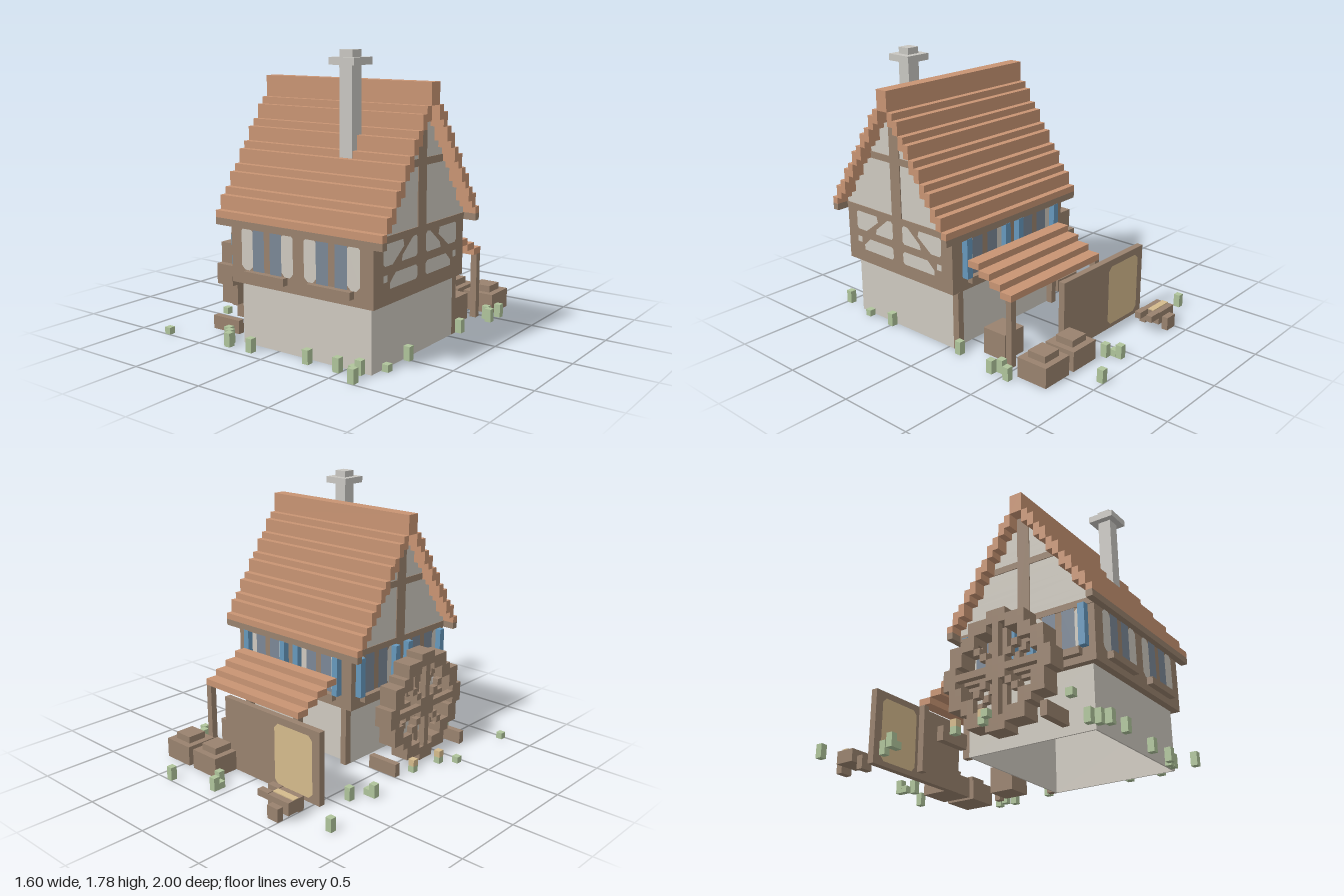
import * as THREE from 'three';
import { mergeGeometries } from 'three/addons/utils/BufferGeometryUtils.js';

const V = 2 / 46; // voxel size

export function createModel() {
  const model = new THREE.Group();
  model.name = 'timberMill';
  const mat = (name, color) => {
    const m = new THREE.MeshStandardMaterial({ color });
    m.name = name;
    return m;
  };
  const roofTile = mat('roofTile', 0xc89473), wood = mat('wood', 0x99826e);
  const plaster = mat('plaster', 0xcec9bf), chimneyStone = mat('chimneyStone', 0xc8c6c1);
  const shutterBlue = mat('shutterBlue', 0x6698bc), glass = mat('glass', 0x7b8796);
  const tan = mat('tan', 0xd4ba8c), grass = mat('grass', 0xafc49b);
  const ceilingDark = mat('ceilingDark', 0x8a8885);

  const boxGeo = (x0, x1, y0, y1, z0, z1) =>
    new THREE.BoxGeometry(x1 - x0, y1 - y0, z1 - z0).translate((x0 + x1) / 2, (y0 + y1) / 2, (z0 + z1) / 2);
  const add = (parent, name, material, geo) => {
    const m = new THREE.Mesh(geo, material);
    m.name = name;
    parent.add(m);
    return m;
  };
  const box = (parent, name, material, ...b) => add(parent, name, material, boxGeo(...b));
  const group = (name) => {
    const g = new THREE.Group();
    g.name = name;
    model.add(g);
    return g;
  };
  // Flat painted plate with cut corners, facing +z
  const plate = (x0, x1, y0, y1, c) => new THREE.ShapeGeometry(new THREE.Shape([
    [x0 + c, y0], [x1 - c, y0], [x1, y0 + c], [x1, y1 - c],
    [x1 - c, y1], [x0 + c, y1], [x0, y1 - c], [x0, y0 + c]].map((p) => new THREE.Vector2(...p))));

  // Ground floor: open at the bottom, with a dark ceiling
  const ground = group('groundFloor');
  const [gx0, gx1, gz0, gz1, t] = [-0.283, 0.67, -0.038, 0.83, 0.01];
  box(ground, 'frontWall', plaster, gx0, gx1, 0, 0.39, gz1 - t, gz1);
  box(ground, 'backWall', plaster, gx0, gx1, 0, 0.39, gz0, gz0 + t);
  box(ground, 'rightWall', plaster, gx0, gx0 + t, 0, 0.39, gz0 + t, gz1 - t);
  box(ground, 'leftWall', plaster, gx1 - t, gx1, 0, 0.39, gz0 + t, gz1 - t);
  box(ground, 'ceiling', ceilingDark, gx0 + t, gx1 - t, 0.38, 0.391, gz0 + t, gz1 - t);
  for (const x of [gx0, gx1 - V]) box(ground, 'backPost', wood, x, x + V, 0, 0.39, -0.085, gz0);

  // Upper floor
  const upper = group('upperFloor');
  const [ux0, ux1, uz0, uz1, zc] = [-0.326, 0.713, -0.085, 0.875, 0.395];
  box(upper, 'timberStorey', wood, ux0, ux1, 0.391, 0.742, uz0, uz1);

  // Half-timber infill on the left side, mirrored about the middle post
  const infill = [
    [[-0.39, 0.73], [-0.375, 0.74], [-0.195, 0.74], [-0.185, 0.7], [-0.3, 0.615], [-0.375, 0.615], [-0.39, 0.63]],
    [[-0.21, 0.615], [-0.2, 0.65], [-0.095, 0.735], [-0.06, 0.74], [-0.045, 0.725], [-0.045, 0.63], [-0.06, 0.615]],
    [[-0.39, 0.565], [-0.35, 0.565], [-0.35, 0.525], [-0.39, 0.525]],
    [[-0.325, 0.48], [-0.325, 0.515], [-0.27, 0.565], [-0.06, 0.565], [-0.045, 0.55], [-0.045, 0.495], [-0.06, 0.48]],
  ];
  for (const side of [-1, 1]) for (const pts of infill) {
    const s = new THREE.Shape(pts.map(([u, y]) => new THREE.Vector2(u * side, y)));
    const m = add(upper, 'plasterInfill', plaster, new THREE.ShapeGeometry(s));
    m.rotation.y = Math.PI / 2;
    m.position.set(ux1 + 0.004, 0, zc);
  }

  // Windows: glass pairs, light side panels, optional shutters, and a sill
  const addWindow = (x, z, turn, shutters) => {
    const w = group('window');
    for (const s of [-1, 1]) {
      const span = (a, b) => (s < 0 ? [-b, -a] : [a, b]);
      add(w, 'pane', glass, plate(...span(0.022, 0.11), 0.48, 0.742, 0.003)).position.z = 0.004;
      add(w, 'sidePanel', plaster, plate(...span(0.11, 0.197), 0.48, 0.742, 0.025)).position.z = 0.004;
      if (shutters) box(w, 'shutter', shutterBlue, ...span(0.153, 0.197), 0.48, 0.742, 0, V);
    }
    box(w, 'sill', wood, -0.152, 0.152, 0.435, 0.48, 0, 0.04);
    w.position.set(x, 0, z);
    w.rotation.y = turn;
  };
  for (const x of [-0.045, 0.43]) {
    addWindow(x, uz1, 0, false);
    addWindow(x, uz0, Math.PI, true);
  }
  for (const z of [0.155, 0.635]) addWindow(ux0, z, -Math.PI / 2, true);

  // Stepped roof with gable infill beneath each course
  const roof = group('roof');
  const [rx0, rx1] = [-0.413, 0.8];
  const tops = [19, 21, 22, 24, 25, 27, 28, 30, 31, 33, 34];
  tops.forEach((top, i) => {
    const inner = V * (11 - i), outer = inner + V, low = i === 0 ? 18 : top - 2;
    for (const s of [-1, 1]) {
      const [z0, z1] = s > 0 ? [zc + inner, zc + outer] : [zc - outer, zc - inner];
      box(roof, 'tileCourse', roofTile, rx0, rx1, low * V, top * V, z0, z1);
      if (i === 0) box(roof, 'eaveBeam', wood, rx0, rx1, 17 * V, 18 * V, z0, z1);
    }
    const next = i === 0 ? 17 : tops[i - 1] - 2;
    if (i > 0) box(roof, 'gable', plaster, ux0, ux1, next * V, low * V, zc - outer, zc + outer);
  });
  box(roof, 'gablePeak', plaster, ux0, ux1, 32 * V, 34 * V, zc - V, zc + V);
  box(roof, 'ridge', roofTile, rx0, rx1, 34 * V, 37 * V, zc - V, zc + V);
  for (const [x0, x1] of [[ux0 - 0.006, ux0], [ux1, ux1 + 0.006]]) {
    box(roof, 'gablePost', wood, x0, x1, 0.742, 34 * V, zc - V, zc + V);
    box(roof, 'gableFootBeam', wood, x0, x1, 0.742, 18 * V, uz0, uz1);
    box(roof, 'gableCollarBeam', wood, x0, x1, 26 * V, 27 * V, zc - 6 * V, zc + 6 * V);
  }

  // Chimney
  const chimney = group('chimney');
  box(chimney, 'shaft', chimneyStone, 0.325, 0.413, 1.175, 1.70, 0.57, 0.66);
  box(chimney, 'cap', chimneyStone, 0.281, 0.457, 1.70, 1.743, 0.525, 0.70);
  box(chimney, 'pot', chimneyStone, 0.325, 0.413, 1.743, 1.785, 0.57, 0.655);

  // Lean-to at the back
  const leanTo = group('leanTo');
  for (let i = 0; i < 4; i++)
    box(leanTo, 'leanToCourse', roofTile, -0.24, 0.625, (13 - i) * V, (14 - i) * V, -0.13 - (i + 1) * 2 * V, -0.13 - i * 2 * V);
  for (const x of [-0.24, 0.58]) box(leanTo, 'leanToPost', wood, x, x + V, 0, 10 * V, -0.477, -0.434);
  box(leanTo, 'yardWall', wood, -0.545, 0.285, 0, 0.48, -0.608, -0.565);
  for (const s of [1, -1]) {
    const p = add(leanTo, 'wallPanel', tan, plate(-0.16, 0.16, 0.03, 0.437, 0.03));
    p.position.set(-0.328, 0, s > 0 ? -0.561 : -0.612);
    if (s < 0) p.rotation.y = Math.PI;
  }

  // Crates
  const crates = group('crates');
  for (const x of [0.195, 0.455]) {
    box(crates, 'crate', wood, x, x + 5 * V, 0, 0.13, -0.785, -0.568);
    box(crates, 'crateLid', wood, x + V, x + 4 * V, 0.13, 0.174, -0.742, -0.612);
  }
  box(crates, 'backCrate', wood, 0.41, 0.585, 0, 0.174, -0.39, -0.217);

  // Wheelbarrow
  const barrow = group('wheelbarrow');
  box(barrow, 'tray', wood, -0.545, -0.375, 0.043, 0.125, -0.87, -0.742);
  box(barrow, 'load', tan, -0.545, -0.375, 0.125, 0.131, -0.828, -0.785);
  for (const z of [-0.87, -0.785]) box(barrow, 'handle', wood, -0.375, -0.288, 0.087, 0.13, z, z + V);
  for (const z of [-0.913, -0.742]) box(barrow, 'barrowWheel', wood, -0.5, -0.413, 0, 0.087, z, z + V);

  // Water wheel: full-width rim and paddles, paired spokes and a hub
  const wheel = group('waterWheel');
  const cells = [];
  const full = [[-0.587, -0.457]], sides = [[-0.587, -0.544], [-0.5, -0.457]];
  for (let i = -8; i <= 8; i++) for (let j = -8; j <= 8; j++) {
    const r = Math.hypot(i, j), step = Math.PI / 6, a = Math.atan2(j, i);
    const off = Math.abs(a - Math.round(a / step) * step);
    const paddle = r > 7.2 && r < 8.6 && off < 0.13, rim = r > 6.1 && r < 7.3;
    const spoke = r < 6.2 && (i === 0 || j === 0 || Math.abs(i) === Math.abs(j));
    if (!rim && !paddle && !spoke) continue;
    const y = 0.37 + (i - 0.5) * V, z = 0.37 + (j - 0.5) * V;
    for (const [x0, x1] of spoke && r > 1.5 ? sides : full) cells.push(boxGeo(x0, x1, y, y + V, z, z + V));
  }
  add(wheel, 'wheelRimAndSpokes', wood, mergeGeometries(cells));
  box(wheel, 'axle', wood, -0.46, -0.413, 0.305, 0.39, 0.345, 0.43);
  for (const z of [0, 0.695]) box(wheel, 'wheelSupport', wood, -0.63, -0.413, 0, 0.087, z, z + V);

  // Tufts around the yard: x, z, height in voxels
  const yard = group('yard');
  const tufts = [
    [-0.78, -0.765, 2], [0.08, -0.89, 2], [0.08, -0.846, 1], [0.125, -0.81, 2], [0.39, -0.978, 2],
    [0.735, -0.545, 2], [0.69, -0.46, 2], [0.735, -0.415, 2], [-0.61, -0.415, 2], [-0.695, -0.285, 2],
    [-0.652, -0.285, 1], [-0.78, 0.455, 1], [-0.78, 0.978, 1], [-0.31, 0.935, 2], [-0.135, 0.935, 2],
    [0.65, 0.978, 2], [0.26, 0.89, 2], [0.48, 0.89, 2], [0.605, 0.85, 2], [0.7, 0.5, 2], [0.56, 0.85, 1],
    [0.7, 0.72, 1], [0.69, -0.11, 2], [-0.39, 0.85, 2], [-0.345, 0.89, 2],
  ];
  const block = (name, m, x, z, h) => box(yard, name, m, x - V / 2, x + V / 2, 0, h * V, z - V / 2, z + V / 2);
  for (const [x, z, h] of tufts) block('grassTuft', grass, x, z, h);
  for (const [x, z] of [[-0.695, 0.37], [-0.655, 0.15]]) {
    block('dryStem', grass, x, z, 1);
    block('dryTuft', tan, x, z, 1).position.y = V;
  }
  return model;
}
